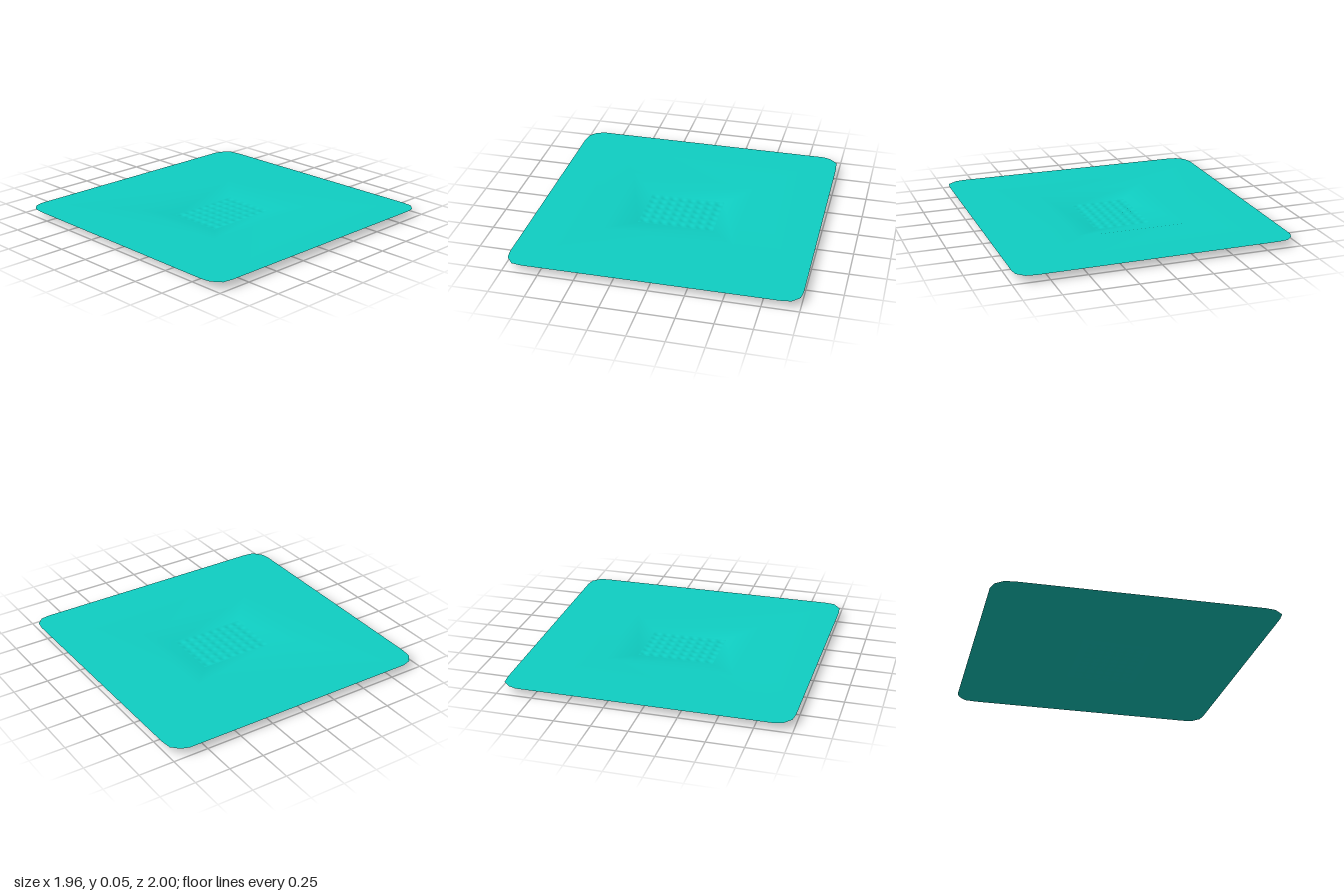
import * as THREE from 'three';
import { mergeGeometries, mergeVertices } from 'three/addons/utils/BufferGeometryUtils.js';

const RIM_Y = 0.045, FLOOR_Y = 0.006;

// corners of a rectangle as [x, z], walking round it
const rect = (x, zBack, zFront) => [[-x, zBack], [x, zBack], [x, zFront], [-x, zFront]];

export function createModel() {
  const group = new THREE.Group();
  const material = new THREE.MeshStandardMaterial({ color: 0x0fd0c4, side: THREE.DoubleSide });
  const rim = rect(0.41, -0.45, 0.48);
  const foot = rect(0.2, -0.26, 0.28);

  // flat outer sheet with softly cut corners and a rectangular opening
  const outline = [
    [-0.98, -0.87], [-0.96, -0.925], [-0.91, -0.975], [-0.83, -0.985],
    [0.84, -1], [0.91, -0.99], [0.96, -0.94], [0.97, -0.88],
    [0.975, 0.87], [0.965, 0.94], [0.9, 0.99], [0.83, 1],
    [-0.83, 0.99], [-0.905, 0.98], [-0.96, 0.935], [-0.98, 0.87],
  ];
  const toPoint = ([x, z]) => new THREE.Vector2(x, -z);
  const shape = new THREE.Shape(outline.map(toPoint));
  shape.holes.push(new THREE.Path(rim.map(toPoint)));
  const sheet = new THREE.ShapeGeometry(shape).rotateX(-Math.PI / 2).translate(0, RIM_Y, 0);

  // four sloping banks from the opening down to the floor
  const positions = [], index = [];
  for (let i = 0; i < 4; i++) {
    positions.push(rim[i][0], RIM_Y, rim[i][1], foot[i][0], FLOOR_Y, foot[i][1]);
    const a = 2 * i, b = 2 * ((i + 1) % 4);
    index.push(a, a + 1, b, b, a + 1, b + 1);
  }
  const banks = new THREE.BufferGeometry();
  banks.setAttribute('position', new THREE.Float32BufferAttribute(positions, 3));
  banks.setIndex(index);

  // weld sheet and banks so the shading rolls smoothly over the rim
  sheet.deleteAttribute('normal');
  sheet.deleteAttribute('uv');
  const basin = mergeVertices(mergeGeometries([sheet, banks]), 1e-4);
  basin.computeVertexNormals();
  const basinMesh = new THREE.Mesh(basin, material);
  basinMesh.name = 'basin';
  group.add(basinMesh);

  // rippled floor: a grid of small bumps and dimples
  const floor = new THREE.PlaneGeometry(0.4, 0.54, 36, 48).rotateX(-Math.PI / 2);
  const p = floor.attributes.position;
  for (let i = 0; i < p.count; i++) {
    const u = p.getX(i) / 0.4 + 0.5, v = p.getZ(i) / 0.54 + 0.5;
    const dip = (Math.sin(Math.PI * 6 * u) * Math.sin(Math.PI * 8 * v)) ** 2;
    p.setY(i, FLOOR_Y * (1 - dip));
  }
  floor.translate(0, 0, 0.01);
  floor.computeVertexNormals();
  const floorMesh = new THREE.Mesh(floor, material);
  floorMesh.name = 'rippledFloor';
  group.add(floorMesh);

  return group;
}
